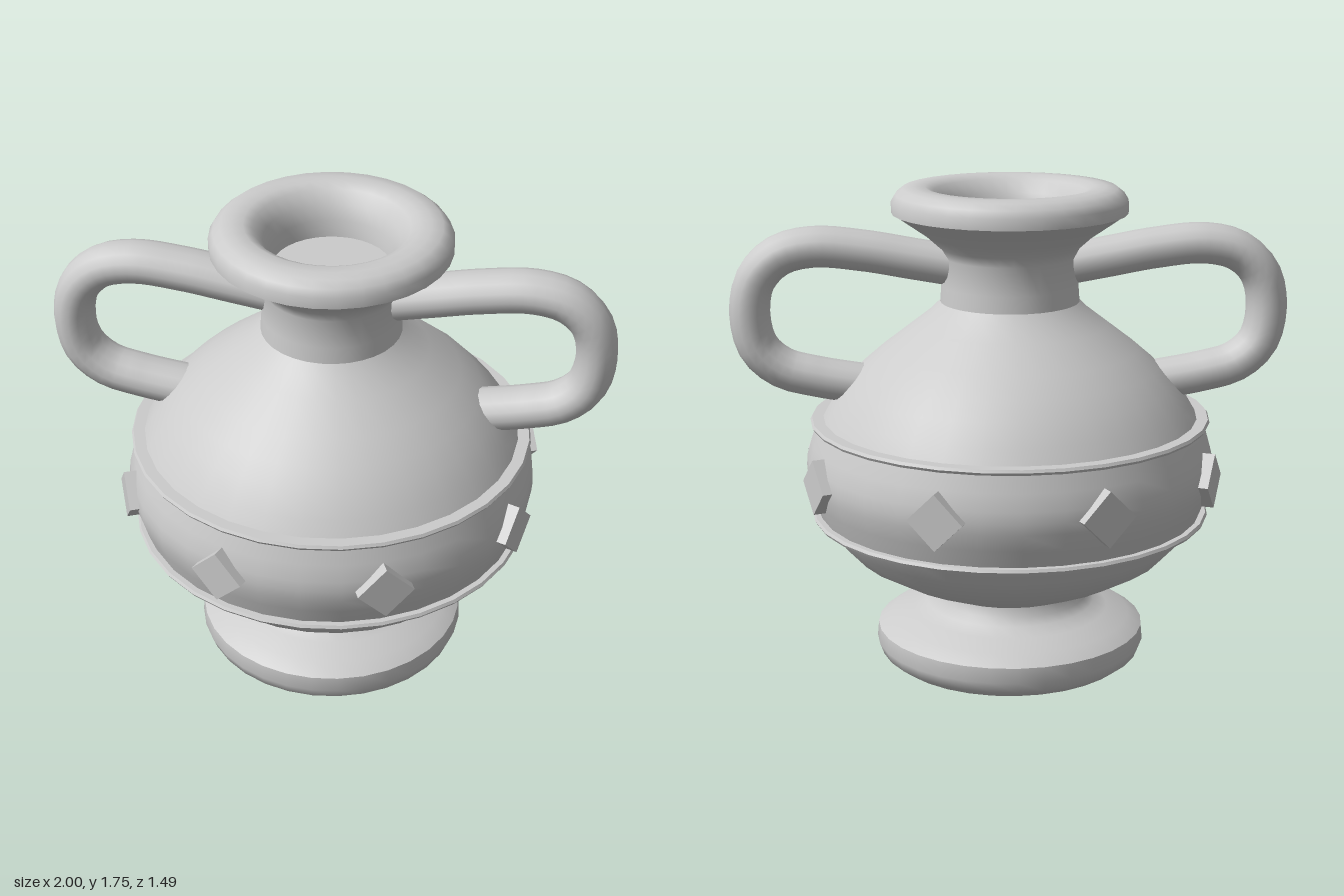
import * as THREE from 'three';
import { toCreasedNormals } from 'three/addons/utils/BufferGeometryUtils.js';

const material = new THREE.MeshStandardMaterial({ color: 0xcccccc });

// Turned part from [radius, height] points, listed so the outside faces out
function turned(name, points) {
  const profile = points.map(([r, y]) => new THREE.Vector2(r, y));
  const geometry = toCreasedNormals(new THREE.LatheGeometry(profile, 32), 0.75);
  const mesh = new THREE.Mesh(geometry, material);
  mesh.name = name;
  return mesh;
}

export function createModel() {
  const vase = new THREE.Group();
  vase.name = 'vase';

  // Turned parts from bottom to top
  vase.add(
    turned('foot', [[0, 0], [0.44, 0], [0.48, 0.03], [0.495, 0.07], [0.49, 0.125],
      [0.44, 0.16], [0.36, 0.185], [0.31, 0.21], [0.285, 0.235], [0.275, 0.275]]),
    turned('lowerBody', [[0.26, 0.27], [0.29, 0.275], [0.44, 0.34], [0.57, 0.415],
      [0.64, 0.49], [0.68, 0.56]]),
    turned('bellyBand', [[0.695, 0.57], [0.72, 0.64], [0.737, 0.70], [0.74, 0.74],
      [0.737, 0.78], [0.72, 0.84], [0.695, 0.91]]),
    turned('upperBody', [[0.68, 0.915], [0.645, 0.975], [0.59, 1.045], [0.535, 1.105],
      [0.46, 1.17], [0.35, 1.255], [0.285, 1.305], [0.245, 1.345]]),
    turned('neck', [[0.25, 1.335], [0.245, 1.40], [0.235, 1.50], [0.25, 1.535],
      [0.30, 1.58], [0.365, 1.625], [0.415, 1.66]]),
    turned('lip', [[0.405, 1.655], [0.42, 1.66], [0.42, 1.70], [0.405, 1.725],
      [0.38, 1.745], [0.34, 1.75], [0.30, 1.75], [0.27, 1.735], [0.235, 1.69],
      [0.215, 1.64], [0.207, 1.58], [0, 1.58]])
  );

  // Thin raised rims above and below the band
  for (const [name, y] of [['lowerRim', 0.565], ['upperRim', 0.912]]) {
    vase.add(turned(name, [[0.65, y - 0.01], [0.717, y - 0.01], [0.723, y],
      [0.717, y + 0.01], [0.65, y + 0.01]]));
  }

  // Eight diamond studs around the band
  const studGeometry = new THREE.BoxGeometry(0.14, 0.14, 0.07);
  studGeometry.rotateZ(Math.PI / 4);
  studGeometry.translate(0, 0.74, 0.73);
  for (let i = 0; i < 8; i++) {
    const stud = new THREE.Mesh(studGeometry, material);
    stud.name = 'diamondStud';
    stud.rotation.y = (i + 0.5) * Math.PI / 4;
    vase.add(stud);
  }

  // Looped handles, oval in section and mirrored left to right
  for (const side of [1, -1]) {
    const path = new THREE.CatmullRomCurve3([
      [0.18, 1.465], [0.35, 1.495], [0.52, 1.525], [0.70, 1.54], [0.82, 1.51],
      [0.9, 1.43], [0.927, 1.31], [0.9, 1.18], [0.82, 1.105], [0.70, 1.07], [0.50, 1.035],
    ].map(([x, y]) => new THREE.Vector3(side * x, y, 0)));
    const handle = new THREE.Mesh(new THREE.TubeGeometry(path, 36, 0.073, 14), material);
    handle.name = side > 0 ? 'leftHandle' : 'rightHandle';
    handle.scale.z = 1.26;
    vase.add(handle);
  }

  return vase;
}
